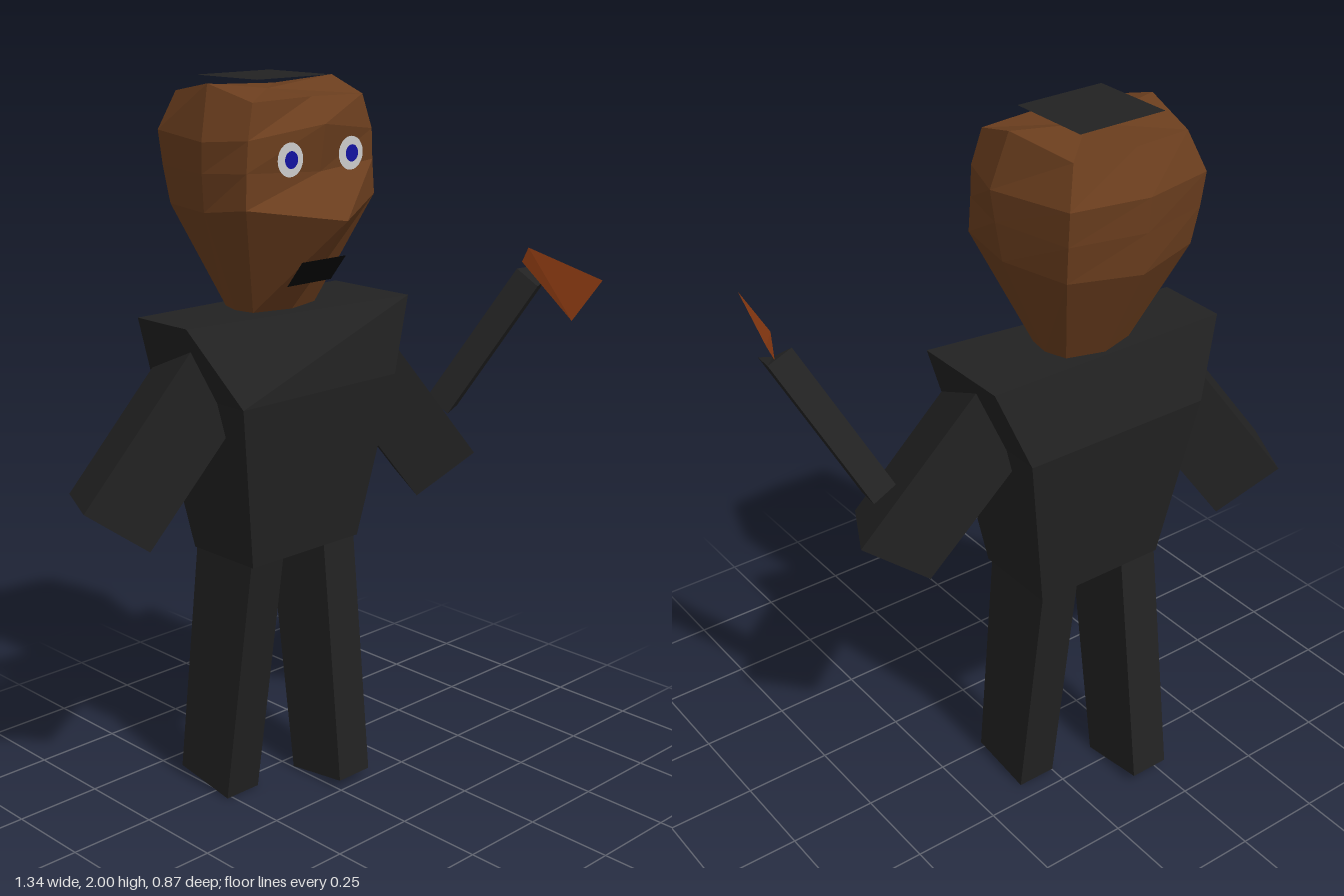
import * as THREE from 'three';

const CX = -0.075; // the body's own middle line

const mat = (color, side = THREE.FrontSide) =>
  new THREE.MeshStandardMaterial({ color, side, flatShading: true });

const cloth = mat(0x222222);
const skin = mat(0x6b3e1e);

// Skin rings of corners (bottom to top, counter-clockwise from above), capped at both ends
function loft(name, rings, material) {
  const pos = [];
  const tri = (a, b, c) => pos.push(...a, ...b, ...c);
  const n = rings[0].length;
  for (let i = 0; i < rings.length - 1; i++) {
    for (let j = 0; j < n; j++) {
      const k = (j + 1) % n;
      const [a, b, c, d] = [rings[i][j], rings[i][k], rings[i + 1][k], rings[i + 1][j]];
      tri(a, b, c);
      tri(a, c, d);
    }
  }
  const cap = (ring, up) => {
    const mid = [0, 1, 2].map((axis) => ring.reduce((s, p) => s + p[axis], 0) / n);
    ring.forEach((p, j) => {
      const q = ring[(j + 1) % n];
      up ? tri(mid, p, q) : tri(mid, q, p);
    });
  };
  cap(rings[0], false);
  cap(rings[rings.length - 1], true);
  const geo = new THREE.BufferGeometry();
  geo.setAttribute('position', new THREE.Float32BufferAttribute(pos, 3));
  geo.computeVertexNormals();
  const mesh = new THREE.Mesh(geo, material);
  mesh.name = name;
  return mesh;
}

// Four-cornered bar: an end face swept along a direction
const bar = (name, ring, d) =>
  loft(name, [ring, ring.map((p) => p.map((v, i) => v + d[i]))], cloth);

// Flat four-cornered sheet, seen from both sides
function sheet(name, [a, b, c, d], color) {
  const geo = new THREE.BufferGeometry();
  geo.setAttribute('position', new THREE.Float32BufferAttribute([a, b, c, a, c, d].flat(), 3));
  geo.computeVertexNormals();
  const mesh = new THREE.Mesh(geo, mat(color, THREE.DoubleSide));
  mesh.name = name;
  return mesh;
}

export function createModel() {
  const model = new THREE.Group();
  model.name = 'figure';

  // Torso: narrow waist, deep chest, wide shoulders (right shoulder cut back)
  const rect = (y, x0, x1, z0, z1, zRight = z1) =>
    [[x0, y, zRight], [x1, y, z1], [x1, y, z0], [x0, y, z0]];
  model.add(loft('torso', [
    rect(0.73, -0.265, 0.125, -0.305, -0.065),
    rect(1.195, -0.35, 0.2, -0.355, 0.005),
    rect(1.4, -0.435, 0.275, -0.305, -0.02, -0.11),
  ], cloth));

  // Legs: left one steps forward, right one back
  const leg = (name, x0, x1, zFront, yFront, zBack, yBack) => loft(name, [
    [[x0, yFront, zFront], [x1, yFront, zFront], [x1, yBack, zBack], [x0, yBack, zBack]],
    rect(0.74, x0, x1, -0.295, -0.07),
  ], cloth);
  model.add(leg('leftLeg', 0, 0.115, -0.005, 0.028, -0.2, 0.003));
  model.add(leg('rightLeg', -0.265, -0.15, -0.19, 0, -0.39, 0.032));

  // Arms: both upper arms hang outward, the left forearm is raised
  model.add(bar('rightArm', [
    [-0.525, 0.815, -0.17], [-0.44, 0.81, -0.35], [-0.59, 0.93, -0.425], [-0.675, 0.935, -0.245],
  ], [0.275, 0.41, 0.12]));
  model.add(bar('leftUpperArm', [
    [0.445, 0.935, 0.085], [0.54, 0.95, -0.095], [0.39, 0.845, -0.18], [0.3, 0.82, 0],
  ], [-0.29, 0.42, -0.115]));
  model.add(bar('leftForearm', [
    [0.43, 1.035, -0.005], [0.475, 1.05, -0.01], [0.495, 1.07, -0.095], [0.41, 1.08, -0.065],
  ], [0.17, 0.37, 0.175]));

  // Flat blade held at the end of the forearm
  model.add(sheet('blade', [
    [0.665, 1.495, 0.08], [0.55, 1.465, 0.43], [0.495, 1.355, 0.375], [0.65, 1.455, 0.07],
  ], 0x8b3a12));

  // Head: half rings from front to back, mirrored into eight corners
  const halfRings = [
    [[0, 1.4, -0.11], [0.11, 1.4, -0.14], [0.12, 1.4, -0.2], [0.1, 1.4, -0.26], [0, 1.4, -0.29]],
    [[0, 1.655, 0.1], [0.225, 1.69, -0.03], [0.235, 1.67, -0.18], [0.19, 1.67, -0.37], [0, 1.66, -0.42]],
    [[0, 1.77, 0], [0.22, 1.78, -0.032], [0.248, 1.77, -0.17], [0.2, 1.77, -0.385], [0, 1.77, -0.43]],
    [[0, 1.89, 0.02], [0.215, 1.86, -0.03], [0.255, 1.85, -0.16], [0.205, 1.86, -0.395], [0, 1.86, -0.435]],
    [[0, 1.955, -0.03], [0.19, 1.95, -0.04], [0.215, 1.99, -0.18], [0.17, 1.96, -0.36], [0, 1.965, -0.38]],
  ];
  const headRings = halfRings.map((half) => [
    ...half.map(([x, y, z]) => [CX + x, y, z]),
    ...half.slice(1, 4).reverse().map(([x, y, z]) => [CX - x, y, z]),
  ]);
  model.add(loft('head', headRings, skin));

  // Hair patch lying on the crown
  model.add(sheet('hairPatch', rect(2, -0.213, 0.04, -0.315, -0.08), 0x222222));

  // Mouth follows the slope under the nose
  model.add(sheet('mouth', [
    [-0.16, 1.48, -0.035], [-0.005, 1.48, -0.035], [-0.005, 1.55, 0.022], [-0.16, 1.55, 0.022],
  ], 0x080808));

  // Eyes: pale discs with a blue iris
  for (const [side, x] of [['right', -0.19], ['left', 0.02]]) {
    const eye = new THREE.Group();
    eye.name = side + 'Eye';
    const white = new THREE.Mesh(new THREE.CircleGeometry(0.043, 24), mat(0xcccccc, THREE.DoubleSide));
    white.name = 'eyeWhite';
    const iris = new THREE.Mesh(new THREE.CircleGeometry(0.022, 20), mat(0x1212a0));
    iris.name = 'iris';
    iris.position.z = 0.004;
    eye.add(white, iris);
    eye.position.set(x, 1.81, 0.014);
    model.add(eye);
  }

  return model;
}
